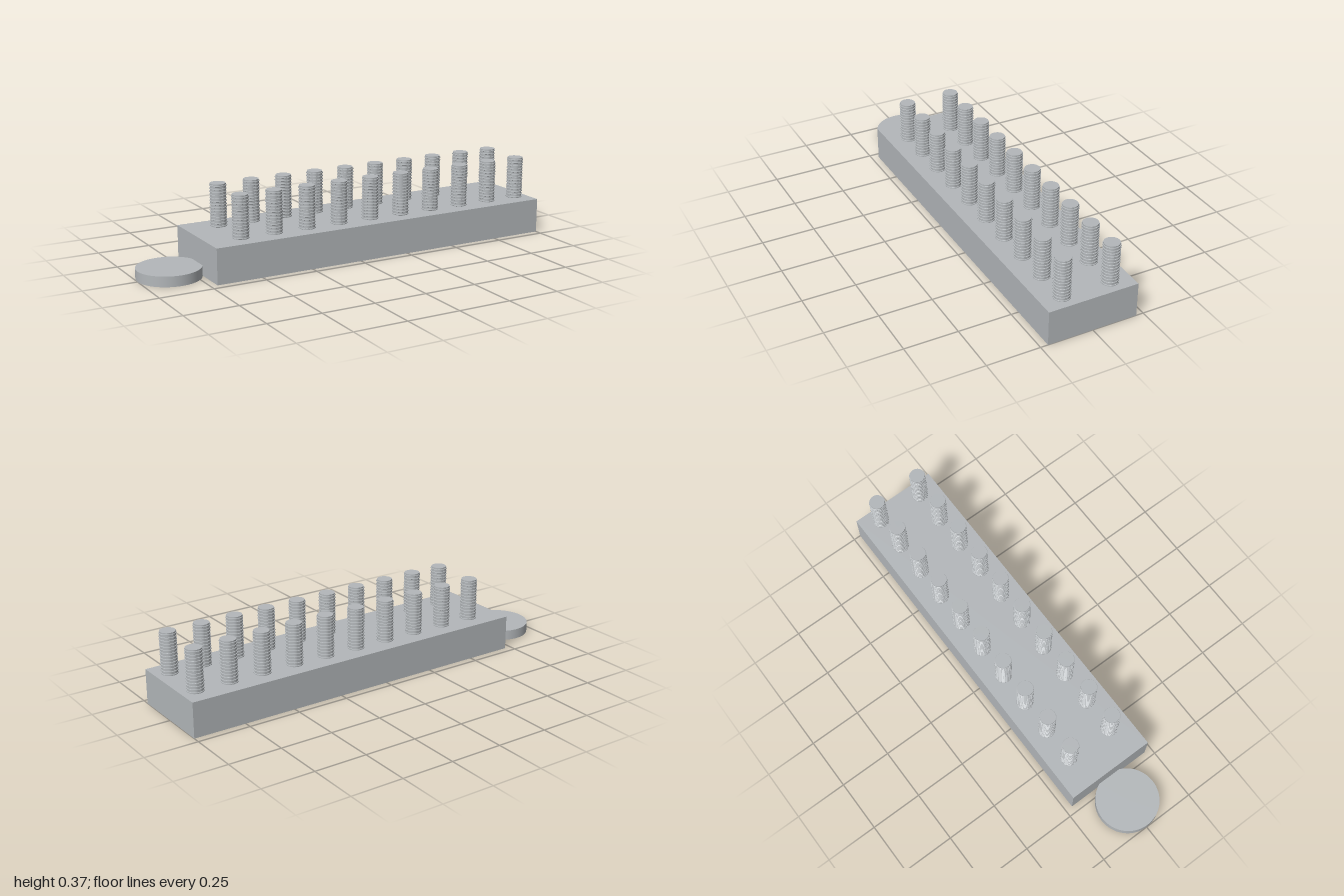
import * as THREE from 'three';
import { toCreasedNormals } from 'three/addons/utils/BufferGeometryUtils.js';

const BASE_TOP = 0.165, PIN_TOP = 0.365;
const CORE = 0.036, RIDGE = 0.039, RIDGES = 14;

// Ridged rod turned from one profile, bottom to top
function pinGeometry() {
  const points = [new THREE.Vector2(CORE, BASE_TOP - 0.005)];
  for (let i = 0; i < RIDGES; i++) {
    const y = BASE_TOP + 0.0045 + i * 0.0143;
    points.push(
      new THREE.Vector2(CORE, y - 0.003),
      new THREE.Vector2(RIDGE, y - 0.0018),
      new THREE.Vector2(RIDGE, y + 0.0018),
      new THREE.Vector2(CORE, y + 0.003),
    );
  }
  points.push(new THREE.Vector2(CORE, PIN_TOP), new THREE.Vector2(0, PIN_TOP));
  return toCreasedNormals(new THREE.LatheGeometry(points, 32), 0.5);
}

export function createModel() {
  const model = new THREE.Group();
  const metal = new THREE.MeshStandardMaterial({ color: 0xb3b7ba });
  metal.name = 'grey metal';

  const add = (name, geometry, x, y, z) => {
    const mesh = new THREE.Mesh(geometry, metal);
    mesh.name = name;
    mesh.position.set(x, y, z);
    model.add(mesh);
  };

  // Block and the low disc at its end
  add('baseBlock', new THREE.BoxGeometry(1.718, BASE_TOP, 0.43), 0.141, BASE_TOP / 2, 0);
  add('endDisc', new THREE.CylinderGeometry(0.147, 0.147, 0.048, 64), -0.853, 0.024, 0);

  // Two rows of ten ridged pins
  const pin = pinGeometry();
  for (const z of [0.116, -0.116]) {
    for (let i = 0; i < 10; i++) {
      add(z > 0 ? 'frontPin' : 'backPin', pin, -0.557 + i * 0.1654, 0, z);
    }
  }
  return model;
}
